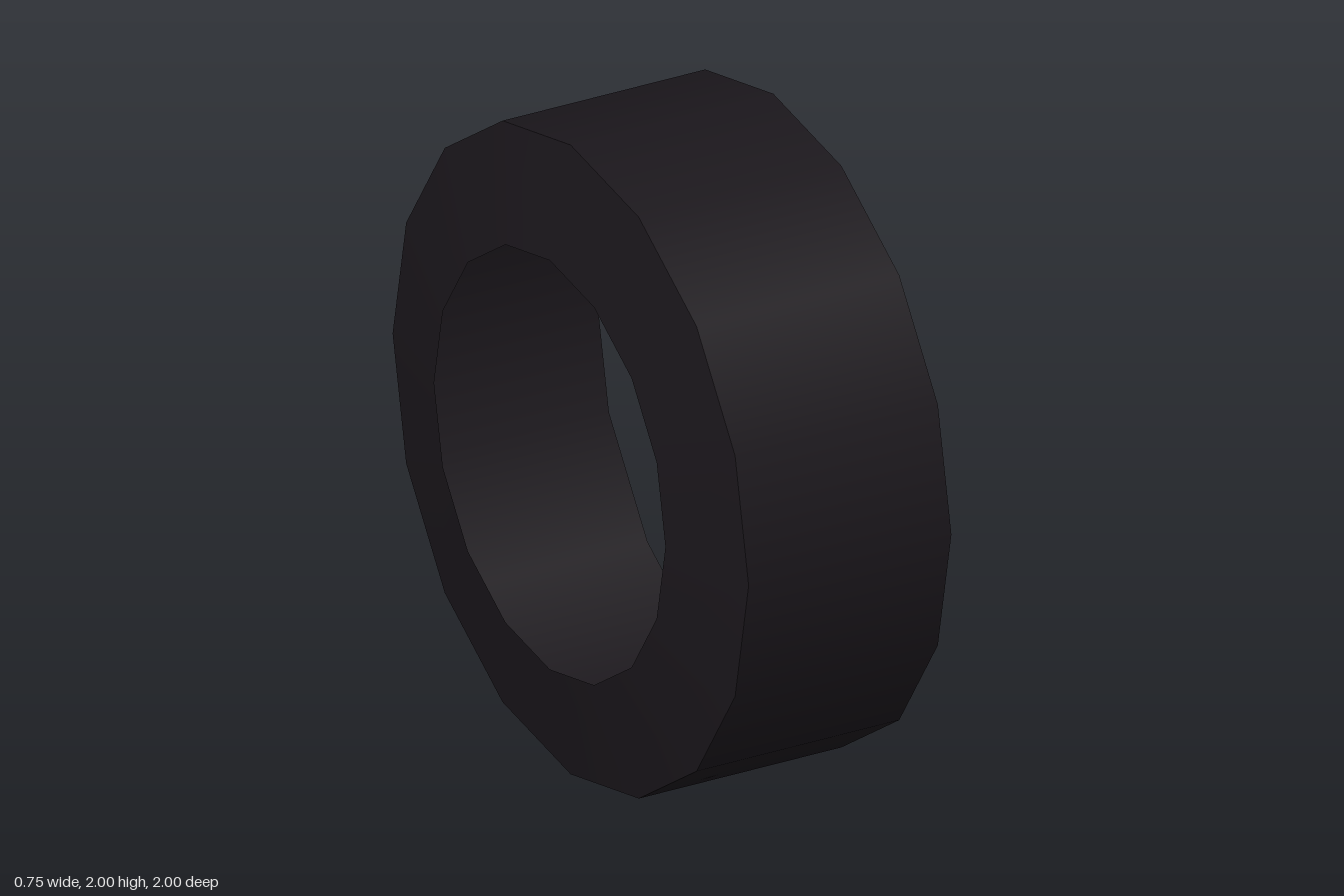
import * as THREE from 'three';

const SIDES = 16;

export function createModel() {
  const tire = new THREE.Group();
  tire.name = 'tire';
  const rubber = new THREE.MeshStandardMaterial({ color: 0x1a161b, side: THREE.DoubleSide });

  // Thin band turned about the x axis; profile points are [radius, x]
  const addBand = (name, profile) => {
    const points = profile.map(([radius, x]) => new THREE.Vector2(radius, x));
    const geometry = new THREE.LatheGeometry(points, SIDES);
    geometry.rotateZ(-Math.PI / 2);
    geometry.translate(0, 1, 0);
    const mesh = new THREE.Mesh(geometry, rubber);
    mesh.name = name;
    tire.add(mesh);
  };

  // Shallow conical side wall with the wheel opening
  addBand('sideWall', [[0.65, -0.375], [1, -0.305]]);
  // Straight tread, open on the +x side
  addBand('tread', [[1, -0.305], [1, 0.375]]);

  return tire;
}
